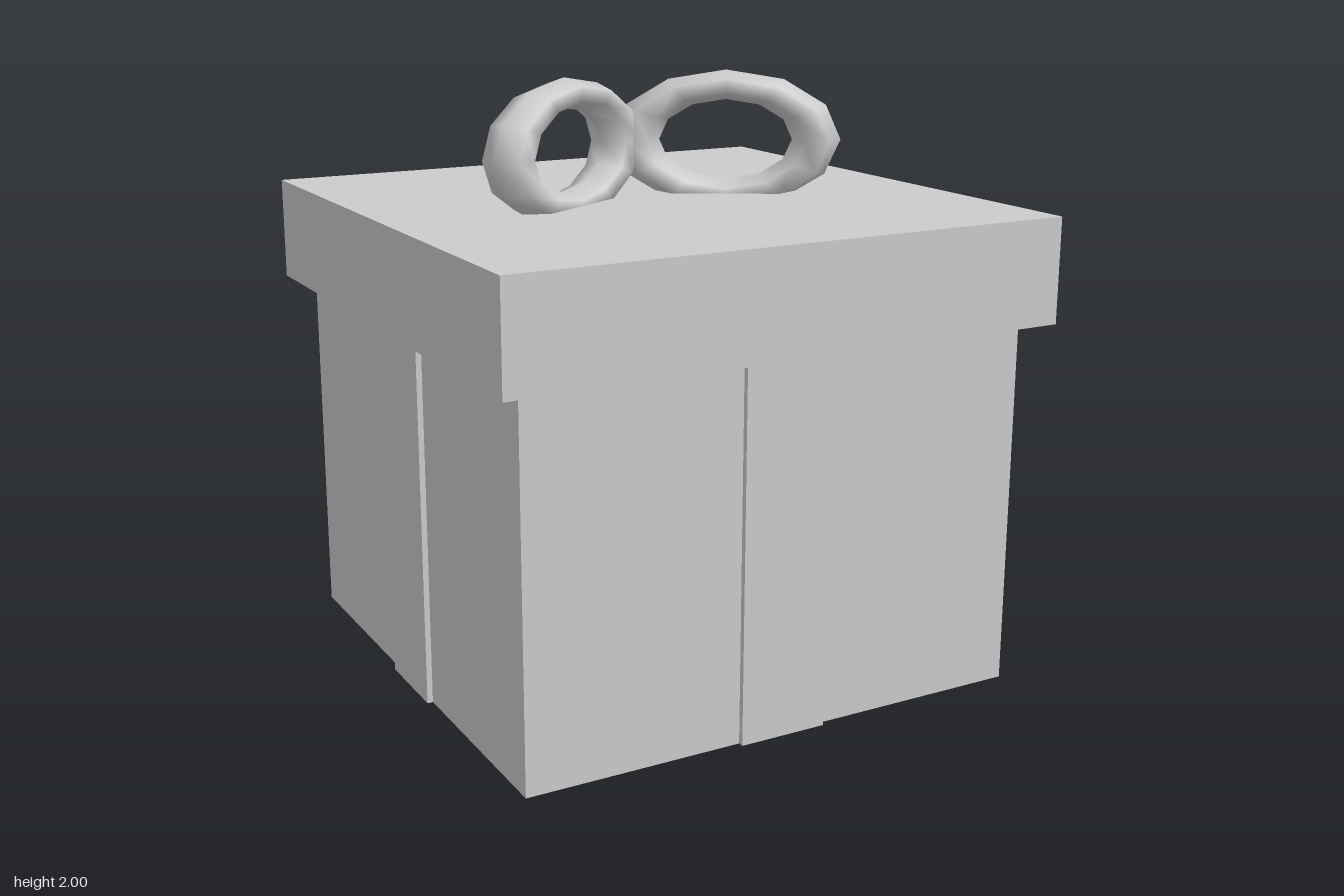
import * as THREE from 'three';

export function createModel() {
  const model = new THREE.Group();
  model.name = 'giftBox';

  const paper = new THREE.MeshStandardMaterial({ color: 0xcccccc });
  paper.name = 'paleGrey';

  // Adds a block of the given size whose underside sits at height y
  function block(name, width, height, depth, y) {
    const mesh = new THREE.Mesh(new THREE.BoxGeometry(width, height, depth), paper);
    mesh.name = name;
    mesh.position.y = y + height / 2;
    model.add(mesh);
  }

  // Box and its overhanging lid
  block('box', 1.766, 1.24, 1.766, 0);
  block('lid', 1.932, 0.349, 1.932, 1.238);

  // Two crossing ribbon bands, standing slightly proud of the box sides
  block('ribbonAcross', 1.804, 1.24, 0.302, 0);
  block('ribbonFrontToBack', 0.302, 1.24, 1.804, 0);

  // Bow: two flattened loops angled forward, sunk a little into the lid
  const loopGeometry = new THREE.TorusGeometry(0.31, 0.083, 6, 12);
  for (const side of [1, -1]) {
    const loop = new THREE.Mesh(loopGeometry, paper);
    loop.name = side > 0 ? 'leftBowLoop' : 'rightBowLoop';
    loop.scale.y = 0.6;
    loop.rotation.y = -side * Math.PI / 6;
    loop.position.set(side * 0.306, 1.764, 0);
    model.add(loop);
  }

  return model;
}
